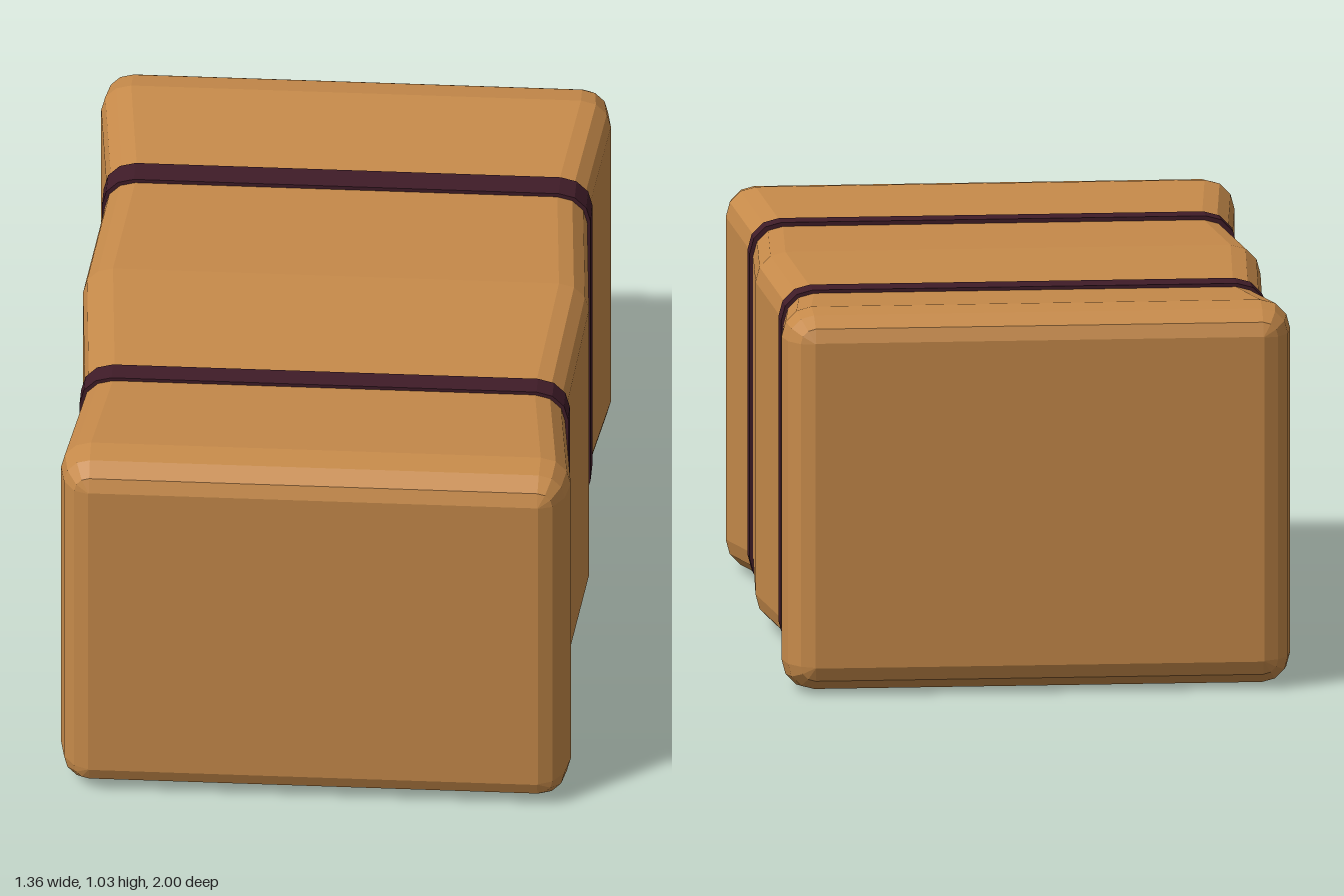
import * as THREE from 'three';

const CENTRE_Y = 0.52;
const CORNER_STEPS = 3;

// Rounded rectangle outline, counter-clockwise
function outline(halfW, halfH, r) {
  const points = [];
  const corners = [[1, 1], [-1, 1], [-1, -1], [1, -1]];
  corners.forEach(([sx, sy], c) => {
    for (let i = 0; i <= CORNER_STEPS; i++) {
      const a = (c + i / CORNER_STEPS) * Math.PI / 2;
      points.push(new THREE.Vector2(
        sx * (halfW - r) + r * Math.cos(a),
        sy * (halfH - r) + r * Math.sin(a)));
    }
  });
  return points;
}

// Package body: rounded sections lofted from back to front, pinched at the straps
function makeBody(material) {
  const half = [
    // z, half width, half height, corner radius
    [0, 0.675, 0.503, 0.08],
    [0.49, 0.64, 0.485, 0.08],
    [0.87, 0.68, 0.517, 0.08],
    [0.94, 0.668, 0.506, 0.069],
    [0.985, 0.638, 0.477, 0.04],
    [1, 0.6, 0.44, 0.002],
  ];
  const back = half.slice(1).reverse().map(([z, ...rest]) => [-z, ...rest]);
  const sections = [...back, ...half];
  const n = 4 * (CORNER_STEPS + 1);
  const positions = [];
  const index = [];

  sections.forEach(([z, w, h, r]) => {
    outline(w, h, r).forEach((p) => positions.push(p.x, p.y, z));
  });
  for (let s = 0; s < sections.length - 1; s++) {
    for (let i = 0; i < n; i++) {
      const a = s * n + i;
      const b = s * n + (i + 1) % n;
      index.push(a, b, b + n, a, b + n, a + n);
    }
  }
  // Flat end faces
  const last = (sections.length - 1) * n;
  for (let i = 1; i < n - 1; i++) {
    index.push(0, i + 1, i);
    index.push(last, last + i, last + i + 1);
  }

  const geometry = new THREE.BufferGeometry();
  geometry.setAttribute('position', new THREE.Float32BufferAttribute(positions, 3));
  geometry.setIndex(index);
  geometry.computeVertexNormals();
  const body = new THREE.Mesh(geometry, material);
  body.name = 'packageBody';
  body.position.y = CENTRE_Y;
  return body;
}

// Strap: a thin rounded band wrapped around a waist of the body
function makeStrap(name, z0, z1, material) {
  const shape = new THREE.Shape(outline(0.652, 0.497, 0.085));
  shape.holes.push(new THREE.Path(outline(0.62, 0.465, 0.06).reverse()));
  const geometry = new THREE.ExtrudeGeometry(shape, { depth: z1 - z0, bevelEnabled: false });
  const strap = new THREE.Mesh(geometry, material);
  strap.name = name;
  strap.position.set(0, CENTRE_Y, z0);
  return strap;
}

export function createModel() {
  const wrap = new THREE.MeshStandardMaterial({ color: 0xc68a4a, flatShading: true });
  const band = new THREE.MeshStandardMaterial({ color: 0x3f1c28, flatShading: true });

  const model = new THREE.Group();
  model.name = 'strappedPackage';
  model.add(
    makeBody(wrap),
    makeStrap('frontStrap', 0.457, 0.522, band),
    makeStrap('backStrap', -0.525, -0.445, band));
  return model;
}
